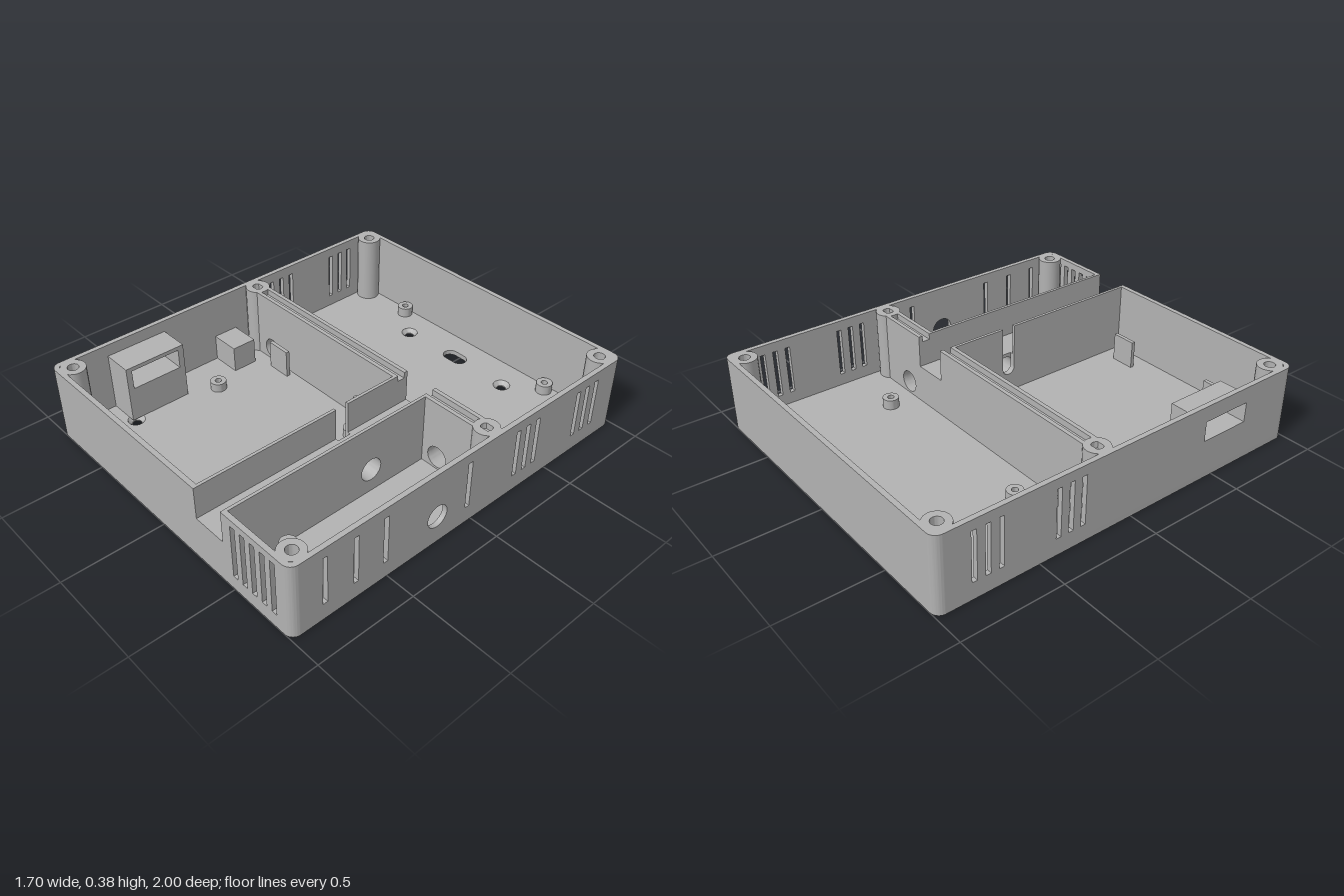
import * as THREE from 'three';
import { toCreasedNormals } from 'three/addons/utils/BufferGeometryUtils.js';

const H = 0.38, W = 0.85, D = 1, T = 0.025, R = 0.045, FLOOR = 0.025;
const CHANNEL = { left: 0.25, right: 0.455, y: 0.22, inL: 0.265, inR: 0.44 };

export function createModel() {
  const group = new THREE.Group();
  const grey = new THREE.MeshStandardMaterial({ color: 0xb2b2b2 });

  const add = (name, geo, x = 0, y = 0, z = 0) => {
    const mesh = new THREE.Mesh(toCreasedNormals(geo, 0.6), grey);
    mesh.name = name;
    mesh.position.set(x, y, z);
    group.add(mesh);
    return mesh;
  };
  const poly = (pts) => new THREE.Shape(pts.map(([x, y]) => new THREE.Vector2(x, y)));
  const rect = (x0, x1, y0, y1) => poly([[x0, y0], [x1, y0], [x1, y1], [x0, y1]]);
  const circle = (x, y, r) => new THREE.Path().absarc(x, y, r, 0, Math.PI * 2, true);
  const slab = (shape, depth, holes = []) => {
    shape.holes.push(...holes);
    return new THREE.ExtrudeGeometry(shape, { depth, bevelEnabled: false, curveSegments: 20 });
  };
  // upright plate drawn in (x, y), thick along z
  const plateZ = (name, shape, z0, z1, holes) => add(name, slab(shape, z1 - z0, holes), 0, 0, z0);
  // upright plate drawn in (-z, y), thick along x
  const plateX = (name, shape, x0, x1, holes) =>
    add(name, slab(shape, x1 - x0, holes).rotateY(Math.PI / 2), x0);
  // lying plate drawn in (x, -z), thick along y
  const plateY = (name, shape, y0, y1, holes) =>
    add(name, slab(shape, y1 - y0, holes).rotateX(-Math.PI / 2), 0, y0);
  const lathe = (pts) => new THREE.LatheGeometry(pts.map(([x, y]) => new THREE.Vector2(x, y)), 32);

  // floor with countersunk screw holes and an oblong hanging slot
  const outline = new THREE.Shape();
  outline.absarc(W - R, D - R, R, 0, Math.PI / 2);
  outline.absarc(-W + R, D - R, R, Math.PI / 2, Math.PI);
  outline.absarc(-W + R, -D + R, R, Math.PI, Math.PI * 1.5);
  outline.absarc(W - R, -D + R, R, Math.PI * 1.5, Math.PI * 2);
  const screws = [[-0.325, -0.815], [0.325, -0.815], [-0.665, 0.705], [0.555, 0.705]];
  const oblong = new THREE.Path();
  oblong.absarc(0.027, 0.825, 0.04, -Math.PI / 2, Math.PI / 2);
  oblong.absarc(-0.03, 0.825, 0.04, Math.PI / 2, Math.PI * 1.5);
  plateY('floor', outline, 0, FLOOR, [...screws.map(([x, z]) => circle(x, -z, 0.042)), oblong]);
  for (const [x, z] of screws) {
    add('countersink', lathe([[0.042, FLOOR], [0.022, 0.006], [0.022, 0], [0.042, 0]]), x, 0, z);
  }

  // side walls with ventilation slits
  const slit = (u, w, y0, y1) => rect(u - w / 2, u + w / 2, y0, y1);
  const sideSlits = (zs) => zs.map((z) => slit(-z, 0.025, 0.085, 0.33));
  const rearSlits = [-0.275, -0.34, -0.405, -0.69, -0.755, -0.82];
  const side = () => rect(-D + R, D - R, FLOOR, H);
  const cableHole = () => circle(-0.215, 0.145, 0.057);
  const portHole = () => rect(-0.69, -0.43, 0.2, 0.3);
  plateX('leftWall', side(), W - T, W,
    [...sideSlits([0.83, 0.67, 0.51, 0.03, ...rearSlits]), cableHole()]);
  plateX('rightWall', side(), -W, -W + T, [...sideSlits(rearSlits), portHole()]);

  // plate with the cable channel cut from its top edge
  const notched = (half, top) => poly([
    [-half, FLOOR], [half, FLOOR], [half, top], [CHANNEL.inR, top], [CHANNEL.inR, CHANNEL.y],
    [CHANNEL.inL, CHANNEL.y], [CHANNEL.inL, top], [-half, top],
  ]);

  // front and back walls
  plateZ('frontWall', notched(W - R, H), D - T, D,
    [0, 1, 2, 3, 4].map((i) => slit(0.51 + i * 0.06, 0.028, 0.072, 0.345)));
  plateZ('backWall', rect(-W + R, W - R, FLOOR, H), -D, -D + T);

  // rounded outer corners
  for (const sx of [-1, 1]) for (const sz of [-1, 1]) {
    const a = Math.atan2(-sz, sx) - Math.PI / 4;
    const cx = sx * (W - R), cy = -sz * (D - R);
    const quarter = new THREE.Shape();
    quarter.absarc(cx, cy, R, a, a + Math.PI / 2);
    quarter.absarc(cx, cy, R - T, a + Math.PI / 2, a, true);
    plateY('wallCorner', quarter, FLOOR, H);
  }

  // cross divider with a groove along its top and two cable holes
  const layers = [[-0.185, -0.165, H], [-0.165, -0.125, H - 0.03], [-0.125, -0.105, H]];
  for (const [z0, z1, top] of layers) {
    plateZ('divider', notched(W - T, top), z0, z1,
      [circle(0.545, 0.09, 0.055), circle(-0.62, 0.09, 0.055)]);
  }

  // cable channel: left wall with a U slot, solid bed with a tunnel, right wall
  const u0 = -(D - T), u1 = 0.105;
  const slotted = (top) => {
    const s = new THREE.Shape();
    s.moveTo(u0, FLOOR).lineTo(u1, FLOOR).lineTo(u1, top).lineTo(-0.18, top);
    s.lineTo(-0.18, 0.155).absarc(-0.215, 0.155, 0.035, 0, -Math.PI, true);
    s.lineTo(-0.25, top).lineTo(u0, top);
    return s;
  };
  plateX('channelWall', slotted(H), CHANNEL.left, CHANNEL.inL);
  plateX('channelBed', slotted(CHANNEL.y), CHANNEL.inL, 0.28);
  plateX('channelBed', rect(u0, u1, FLOOR, CHANNEL.y), 0.28, CHANNEL.inR, [cableHole()]);
  plateX('channelWall', rect(u0, u1, FLOOR, H), CHANNEL.inR, CHANNEL.right, [cableHole()]);

  // lid screw posts and circuit board standoffs, each with a blind hole
  const post = (name, x, z, r, hole, top, depth) => add(name, lathe([
    [r, FLOOR], [r, top], [hole, top], [hole, top - depth], [0, top - depth],
  ]), x, 0, z);
  for (const x of [-0.775, 0.775]) {
    for (const z of [-0.93, -0.145, 0.925]) post('screwPost', x, z, 0.06, 0.027, H, 0.15);
  }
  const standoffs = [
    [-0.48, -0.935, 0.075], [0.495, -0.935, 0.075], [-0.48, -0.33, 0.075], [0.495, -0.33, 0.075],
    [0.11, 0.015, 0.07], [-0.61, 0.255, 0.07], [0.515, 0.735, 0.1], [0.66, 0.735, 0.1],
  ];
  for (const [x, z, top] of standoffs) post('standoff', x, z, 0.04, 0.016, top, 0.035);

  // port tunnel and support block against the right wall
  plateX('portTunnel', rect(-0.72, -0.4, FLOOR, 0.32), -W + T, -0.67, [portHole()]);
  plateX('supportBlock', rect(-0.105, 0.025, FLOOR, 0.16), -W + T, -0.67);

  // upright retaining tabs
  for (const x of [-0.52, 0.1025]) for (const z of [-0.07, 0.875]) {
    add('tab', new THREE.BoxGeometry(0.13, 0.145, 0.02), x, FLOOR + 0.0725, z);
  }
  return group;
}
